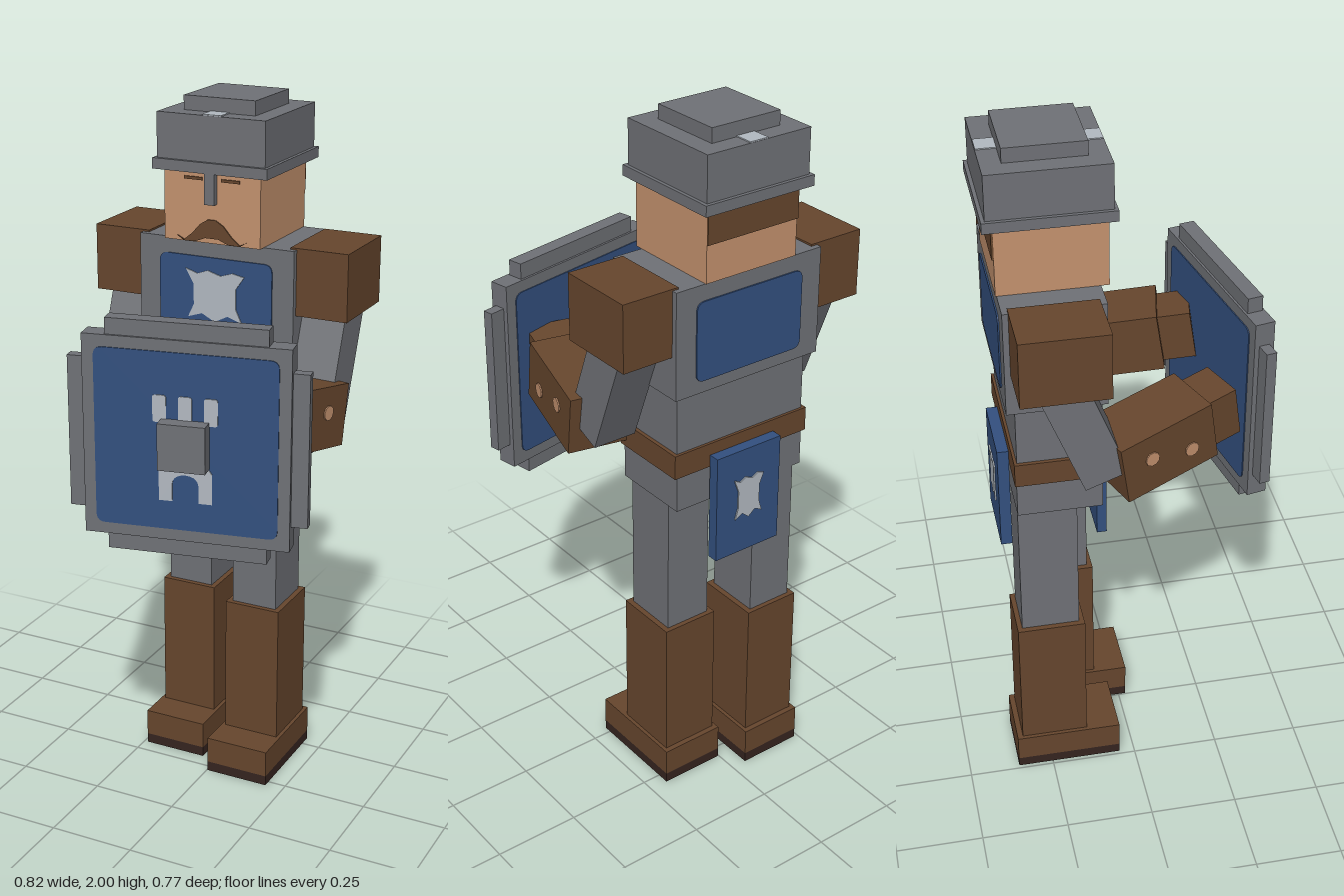
import * as THREE from 'three';

const mat = (name, color) => Object.assign(new THREE.MeshStandardMaterial({ color }), { name });
const M = {
  steel: mat('steel grey', 0x6f7176),
  leather: mat('leather brown', 0x66462d),
  blue: mat('cloth blue', 0x33507f),
  silver: mat('emblem silver', 0xb2b9c1),
  skin: mat('skin', 0xc4926e),
  sole: mat('dark sole', 0x35241f),
};
const CX = -0.022; // body centre line

export function createModel() {
  const root = new THREE.Group();
  root.name = 'guard';

  const add = (parent, name, geo, m) => {
    const mesh = new THREE.Mesh(geo, m);
    mesh.name = name;
    parent.add(mesh);
    return mesh;
  };
  // box from centre and size
  const box = (parent, name, m, [x, y, z], [w, h, d]) => {
    const b = add(parent, name, new THREE.BoxGeometry(w, h, d), m);
    b.position.set(x, y, z);
    return b;
  };
  // box from min and max on each axis
  const span = (parent, name, m, x0, x1, y0, y1, z0, z1) =>
    box(parent, name, m, [(x0 + x1) / 2, (y0 + y1) / 2, (z0 + z1) / 2], [x1 - x0, y1 - y0, z1 - z0]);
  // thin plate from a shape; back = facing -z
  const plate = (parent, name, m, shape, x, y, z, back = false) => {
    const p = add(parent, name, new THREE.ExtrudeGeometry(shape, { depth: 0.005, bevelEnabled: false, curveSegments: 5 }), m);
    p.position.set(x, y, z);
    if (back) p.rotation.y = Math.PI;
    return p;
  };
  const poly = (pts) => new THREE.Shape(pts.map(([x, y]) => new THREE.Vector2(x, y)));
  const rounded = (w, h, r) => {
    const s = new THREE.Shape(), a = w / 2, b = h / 2;
    s.moveTo(-a + r, -b).lineTo(a - r, -b).quadraticCurveTo(a, -b, a, -b + r);
    s.lineTo(a, b - r).quadraticCurveTo(a, b, a - r, b);
    s.lineTo(-a + r, b).quadraticCurveTo(-a, b, -a, b - r);
    s.lineTo(-a, -b + r).quadraticCurveTo(-a, -b, -a + r, -b);
    return s;
  };
  // ragged banner emblem, unit size
  const banner = (w, h) => poly([
    [-0.5, 0.5], [-0.3, 0.42], [-0.12, 0.5], [0.1, 0.42], [0.3, 0.5], [0.5, 0.45],
    [0.36, 0.2], [0.36, -0.2], [0.46, -0.46], [0.22, -0.36], [0, -0.5],
    [-0.22, -0.36], [-0.46, -0.46], [-0.36, -0.2], [-0.36, 0.2],
  ].map(([x, y]) => [x * w, y * h]));

  // head and face
  const head = new THREE.Group();
  head.name = 'head';
  root.add(head);
  span(head, 'face', M.skin, -0.168, 0.123, 1.61, 1.815, -0.35, -0.056);
  span(head, 'hair', M.leather, -0.168, 0.123, 1.715, 1.81, -0.355, -0.349);
  span(head, 'noseGuard', M.steel, -0.038, -0.008, 1.72, 1.81, -0.058, -0.038);
  for (const s of [-1, 1]) box(head, 'closedEye', M.leather, [CX + s * 0.056, 1.787, -0.055], [0.055, 0.008, 0.006]);
  plate(head, 'moustache', M.leather, poly([
    [-0.105, 0.012], [-0.085, 0.002], [-0.06, 0.022], [-0.035, 0.05], [-0.012, 0.064], [0.012, 0.064], [0.035, 0.05],
    [0.06, 0.022], [0.085, 0.002], [0.105, 0.012], [0.085, -0.001], [0.05, 0.0], [0.02, 0.012], [-0.02, 0.012],
    [-0.05, 0.0], [-0.085, -0.001],
  ]), CX, 1.612, -0.057);

  // helmet
  const helmet = new THREE.Group();
  helmet.name = 'helmet';
  root.add(helmet);
  span(helmet, 'brim', M.steel, -0.195, 0.15, 1.805, 1.835, -0.38, -0.036);
  span(helmet, 'crown', M.steel, -0.185, 0.14, 1.835, 1.96, -0.37, -0.046);
  span(helmet, 'crownTop', M.steel, -0.13, 0.085, 1.96, 2.0, -0.316, -0.1);
  span(helmet, 'crestFront', M.silver, -0.048, 0.008, 1.958, 1.963, -0.1, -0.047);
  span(helmet, 'crestBack', M.silver, -0.048, 0.008, 1.958, 1.963, -0.369, -0.316);

  // torso
  span(root, 'chest', M.steel, -0.258, 0.214, 1.305, 1.61, -0.347, -0.078);
  span(root, 'waist', M.steel, -0.235, 0.191, 1.12, 1.306, -0.322, -0.09);
  span(root, 'belt', M.leather, -0.246, 0.202, 1.06, 1.13, -0.33, -0.086);
  span(root, 'hips', M.steel, -0.236, 0.192, 0.955, 1.06, -0.325, -0.09);
  plate(root, 'chestPanel', M.blue, rounded(0.345, 0.225, 0.025), CX, 1.452, -0.079);
  plate(root, 'chestEmblem', M.silver, banner(0.18, 0.145), CX, 1.455, -0.076);
  plate(root, 'backPanel', M.blue, rounded(0.345, 0.225, 0.025), CX, 1.452, -0.346, true);

  // hanging cloths, front and back
  span(root, 'frontCloth', M.blue, -0.13, 0.086, 0.775, 1.095, -0.088, -0.06);
  span(root, 'backCloth', M.blue, -0.13, 0.086, 0.775, 1.095, -0.362, -0.33);
  plate(root, 'frontClothEmblem', M.silver, banner(0.1, 0.13), CX, 0.945, -0.061);
  plate(root, 'backClothEmblem', M.silver, banner(0.1, 0.13), CX, 0.945, -0.361, true);

  // legs, left one stepping forward
  for (const [side, s, dz] of [['left', 1, 0], ['right', -1, -0.067]]) {
    const leg = new THREE.Group();
    leg.name = side + 'Leg';
    leg.position.set(CX + s * 0.121, 0, dz);
    root.add(leg);
    span(leg, 'thigh', M.steel, -0.069, 0.069, 0.5, 0.97, -0.256, -0.091);
    span(leg, 'boot', M.leather, -0.085, 0.085, 0.1, 0.525, -0.27, -0.076);
    span(leg, 'foot', M.leather, -0.096, 0.096, 0.03, 0.11, -0.286, 0.022);
    span(leg, 'sole', M.sole, -0.096, 0.096, 0, 0.03, -0.286, 0.022);
  }

  // arms: shoulder guard, upper arm, forearm sleeve with studs, hand
  const arms = [
    ['left', 1, [0.257, 1.188, 0.03], -0.2],
    ['right', -1, [-0.267, 1.188, 0.037], 0.375],
  ];
  for (const [side, s, pos, yaw] of arms) {
    const arm = new THREE.Group();
    arm.name = side + 'Arm';
    root.add(arm);
    box(arm, 'shoulderGuard', M.leather, [CX + s * 0.302, 1.52, -0.213], [0.17, 0.19, 0.236]);
    const upper = box(arm, 'upperArm', M.steel, [CX + s * 0.298, 1.3, -0.163], [0.13, 0.32, 0.125]);
    upper.rotation.x = -0.37;

    const fore = new THREE.Group();
    fore.name = side + 'Forearm';
    fore.position.set(...pos);
    fore.rotation.set(-0.15, yaw, 0, 'YXZ');
    arm.add(fore);
    box(fore, 'sleeve', M.leather, [0, 0, 0], [0.175, 0.175, 0.285]);
    box(fore, 'hand', M.leather, [0, 0, 0.18], [0.13, 0.145, 0.11]);
    for (const [y, z] of [[-0.022, 0.066], [0.014, -0.055]]) {
      const stud = add(fore, 'stud', new THREE.CylinderGeometry(0.021, 0.021, 0.006, 10), M.skin);
      stud.rotation.z = Math.PI / 2;
      stud.position.set(s * 0.088, y, z);
    }
  }

  // shield, built facing +z then turned
  const shield = new THREE.Group();
  shield.name = 'shield';
  shield.position.set(0.087, 1.175, 0.3);
  shield.rotation.y = 0.2;
  root.add(shield);
  box(shield, 'board', M.steel, [0, 0, 0], [0.565, 0.56, 0.057]);
  box(shield, 'topBottomRim', M.steel, [0, 0, 0], [0.44, 0.65, 0.044]);
  box(shield, 'sideRim', M.steel, [0, 0, 0], [0.655, 0.425, 0.03]);
  plate(shield, 'frontField', M.blue, rounded(0.5, 0.495, 0.025), 0, 0, 0.0265);
  plate(shield, 'backField', M.blue, rounded(0.5, 0.495, 0.025), 0, 0, -0.0265, true);
  box(shield, 'boss', M.steel, [0, 0, 0.05], [0.13, 0.13, 0.05]);
  box(shield, 'grip', M.leather, [0.13, 0.02, -0.045], [0.045, 0.13, 0.04]);
  for (const x of [-0.07, 0, 0.07]) plate(shield, 'emblemTower', M.silver, rounded(0.037, 0.075, 0.008), x, 0.0925, 0.0295);
  // gatehouse with an arched opening below the boss
  const gate = new THREE.Shape();
  gate.moveTo(-0.073, -0.165).lineTo(-0.036, -0.165).lineTo(-0.036, -0.115).quadraticCurveTo(-0.034, -0.09, 0, -0.088);
  gate.quadraticCurveTo(0.034, -0.09, 0.036, -0.115).lineTo(0.036, -0.165).lineTo(0.073, -0.165);
  gate.lineTo(0.073, -0.08).lineTo(0.06, -0.06).lineTo(0.06, 0.06).lineTo(-0.06, 0.06).lineTo(-0.06, -0.06).lineTo(-0.073, -0.08);
  plate(shield, 'emblemGate', M.silver, gate, 0, 0, 0.0295);

  return root;
}
